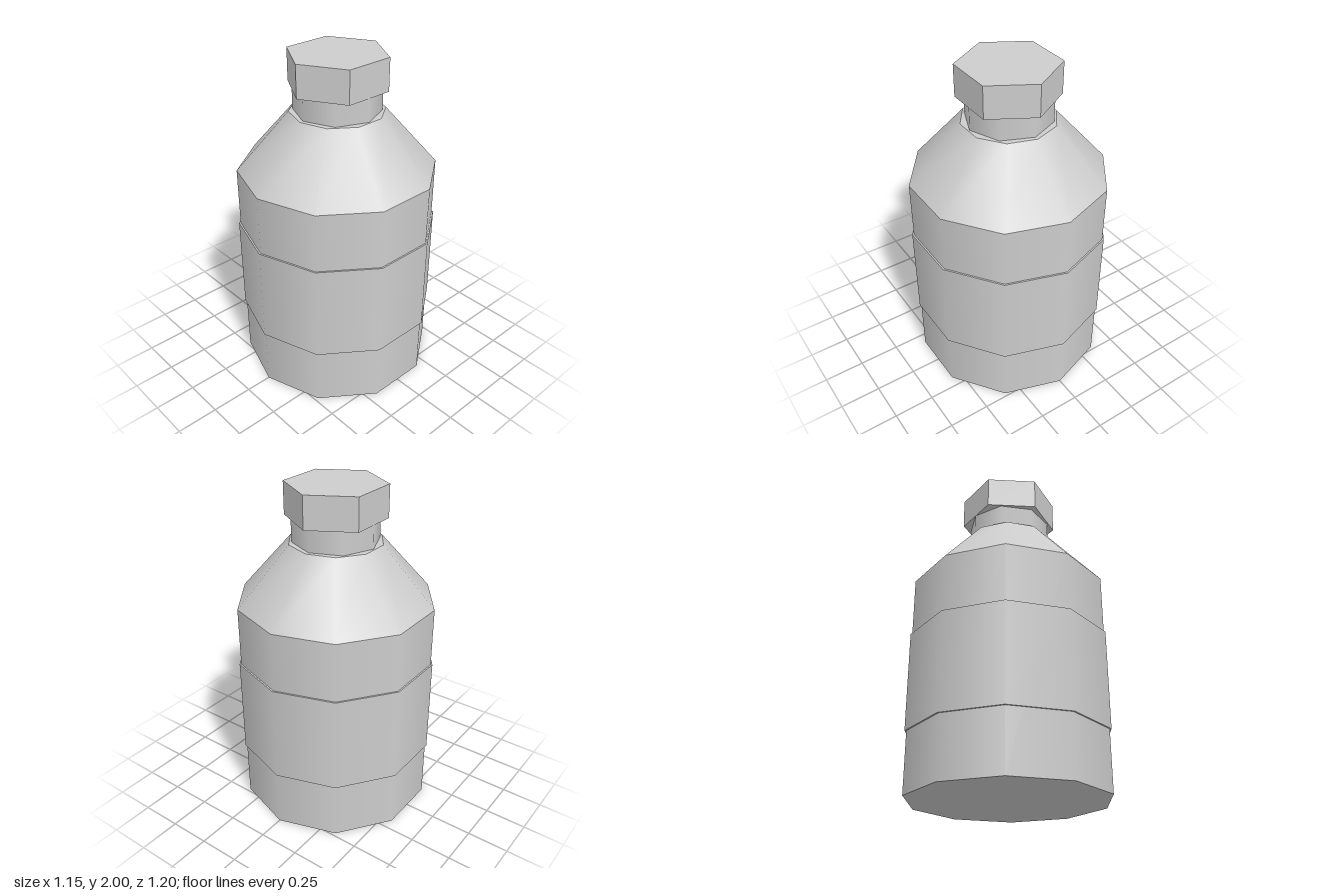
import * as THREE from 'three';

export function createModel() {
  const model = new THREE.Group();
  model.name = 'bottle';

  const grey = new THREE.MeshStandardMaterial({ color: 0xcccccc });
  grey.name = 'light grey';
  const faceted = new THREE.MeshStandardMaterial({ color: 0xcccccc, flatShading: true });
  faceted.name = 'light grey faceted';

  // One upright prism or cone section between two heights
  function section(name, rBottom, rTop, y0, y1, sides, material = grey) {
    const geometry = new THREE.CylinderGeometry(rTop, rBottom, y1 - y0, sides);
    const mesh = new THREE.Mesh(geometry, material);
    mesh.position.y = (y0 + y1) / 2;
    mesh.name = name;
    model.add(mesh);
  }

  // Ten-sided body, label band and sloping shoulder
  section('body', 0.592, 0.592, 0, 1.31, 10);
  section('labelBand', 0.602, 0.602, 0.36, 0.952, 10);
  section('shoulder', 0.592, 0.279, 1.31, 1.668, 10);

  // Eight-sided neck and hexagonal cap
  section('neck', 0.256, 0.256, 1.668, 1.806, 8);
  section('cap', 0.296, 0.296, 1.806, 2, 6, faceted);

  return model;
}
